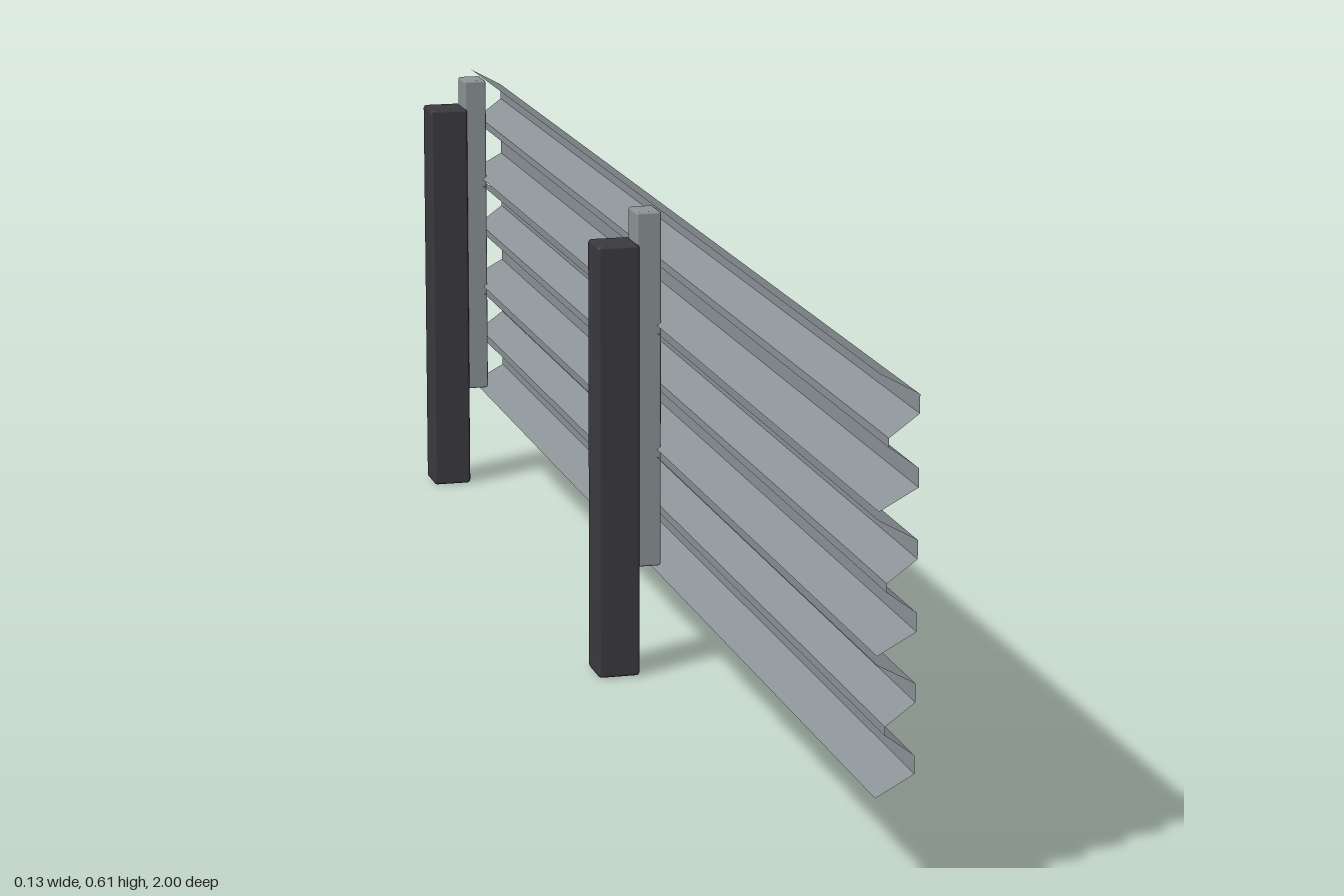
import * as THREE from 'three';
import { RoundedBoxGeometry } from 'three/addons/geometries/RoundedBoxGeometry.js';

const material = (name, color, extra = {}) => {
  const m = new THREE.MeshStandardMaterial({ color, ...extra });
  m.name = name;
  return m;
};

// Corrugated W-section sheet, facing +x and running along z
function railGeometry(length) {
  // [x, y offset from the rail centre], top to bottom
  const upper = [[0.01, 0.075], [0.054, 0.051], [0.054, 0.03], [0.02, 0.005]];
  const lower = upper.map(([x, y]) => [x, -y]).reverse();
  const profile = [...upper, ...lower];
  const geo = new THREE.PlaneGeometry(length, 1, 1, profile.length - 1);
  geo.rotateY(Math.PI / 2);
  const pos = geo.attributes.position;
  for (let i = 0; i < pos.count; i++) {
    const [x, y] = profile[Math.floor(i / 2)];
    pos.setXYZ(i, x, y, pos.getZ(i));
  }
  const flat = geo.toNonIndexed();
  flat.computeVertexNormals();
  return flat;
}

export function createModel() {
  const model = new THREE.Group();
  model.name = 'guardrail';

  const galvanized = material('galvanized steel', 0x8b9397, { side: THREE.DoubleSide });
  const spacerSteel = material('spacer steel', 0x8d9598);
  const darkPost = material('dark post', 0x3b3a3f);
  const boltSteel = material('bolt steel', 0x8a8d90);

  const add = (name, geo, mat, x, y, z) => {
    const mesh = new THREE.Mesh(geo, mat);
    mesh.name = name;
    mesh.position.set(x, y, z);
    model.add(mesh);
  };

  const railHeights = [0.21, 0.37, 0.53];
  const postPositions = [-0.95, 0.05];

  // Three stacked rails
  const railGeo = railGeometry(2);
  railHeights.forEach((y) => add('rail', railGeo, galvanized, 0, y, 0));

  // Posts, spacer blocks and the bolt heads in front of them
  const postGeo = new RoundedBoxGeometry(0.054, 0.56, 0.056, 1, 0.004);
  const spacerGeo = new RoundedBoxGeometry(0.032, 0.458, 0.044, 1, 0.003);
  const boltGeo = new THREE.CylinderGeometry(0.0075, 0.0075, 0.012, 8).rotateZ(-Math.PI / 2);
  postPositions.forEach((z) => {
    add('post', postGeo, darkPost, -0.04, 0.28, z);
    add('spacerBlock', spacerGeo, spacerSteel, 0, 0.371, z);
    railHeights.forEach((y) => add('bolt', boltGeo, boltSteel, 0.061, y, z));
  });

  return model;
}
